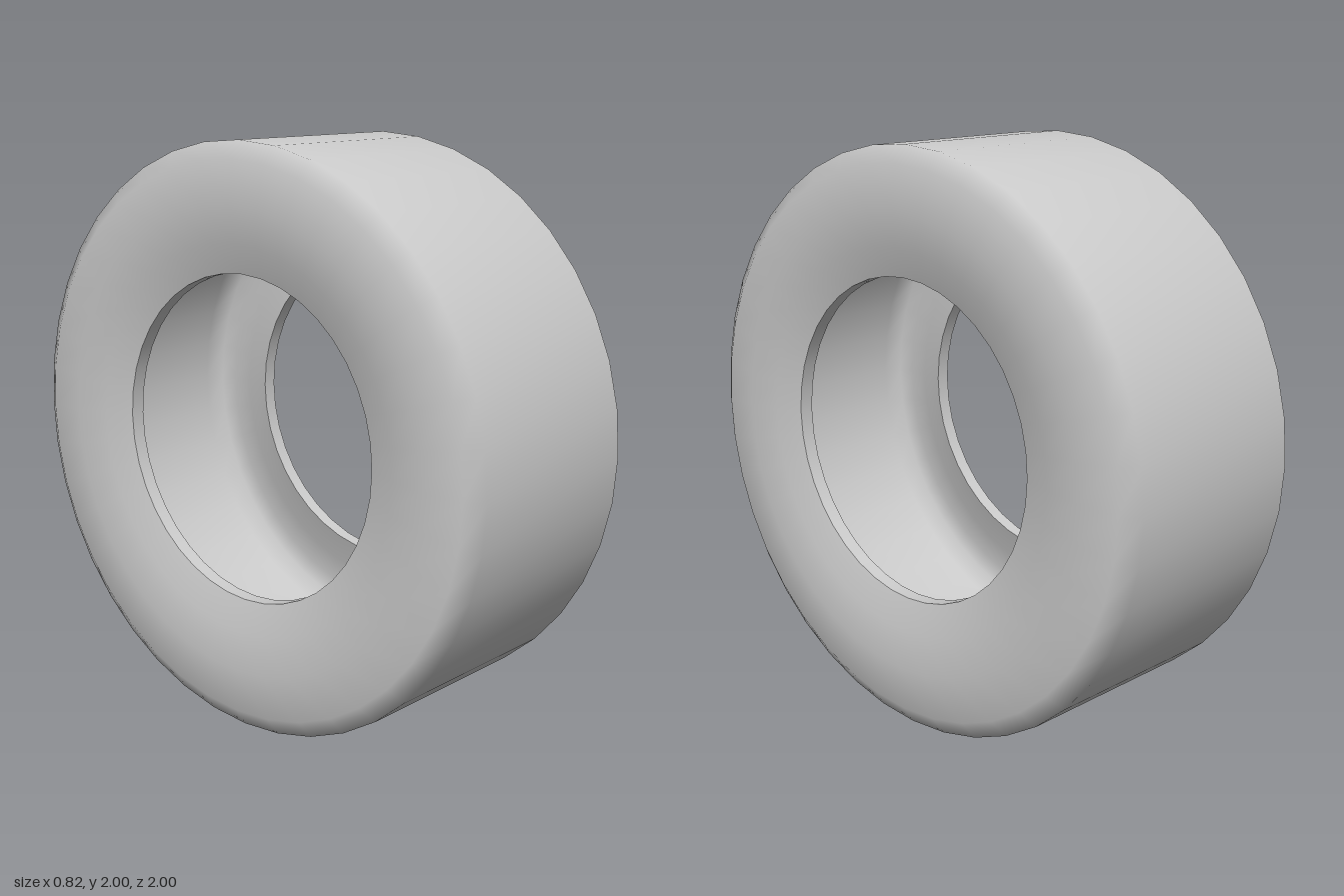
import * as THREE from 'three';

const SEGMENTS = 40;
const HOLE = 0.556; // hole radius
const SHIFT = { y: 0.018, z: 0.012 }; // the hole sits slightly off the tread's centre

// Revolves [axial x, radius] points about the x axis; shifts the inner rim off centre
function ring(name, profile, material) {
  const geometry = new THREE.LatheGeometry(profile.map(([x, r]) => new THREE.Vector2(r, x)), SEGMENTS);
  geometry.rotateZ(-Math.PI / 2);
  const p = geometry.attributes.position;
  for (let i = 0; i < p.count; i++) {
    const y = p.getY(i), z = p.getZ(i);
    const t = (1 - Math.hypot(y, z)) / (1 - HOLE);
    p.setY(i, y + SHIFT.y * t);
    p.setZ(i, z + SHIFT.z * t);
  }
  const mesh = new THREE.Mesh(geometry, material);
  mesh.name = name;
  return mesh;
}

// Completes a half profile by mirroring it to the other side of the tyre
const mirrored = (half) => [...half, ...half.map(([x, r]) => [-x, r]).reverse()];

export function createModel() {
  const material = new THREE.MeshStandardMaterial({ color: 0xcccccc });
  const tyre = new THREE.Group();
  tyre.name = 'tyre';

  // Tread, shoulders and bulging sidewalls as one smooth skin
  tyre.add(ring('outerSkin', mirrored([
    [-0.363, HOLE], [-0.392, 0.66], [-0.41, 0.79], [-0.398, 0.94], [-0.358, 1],
  ]), material));

  // Hollow inside of the tyre
  tyre.add(ring('innerLining', mirrored([
    [0.313, HOLE], [0.338, 0.66], [0.35, 0.75], [0.338, 0.81], [0.3, 0.86],
  ]), material));

  // Narrow bead lips around both holes
  tyre.add(ring('leftBead', [[0.363, HOLE], [0.313, HOLE]], material));
  tyre.add(ring('rightBead', [[-0.313, HOLE], [-0.363, HOLE]], material));

  tyre.position.y = 1;
  const model = new THREE.Group();
  model.name = 'tyreModel';
  model.add(tyre);
  return model;
}
